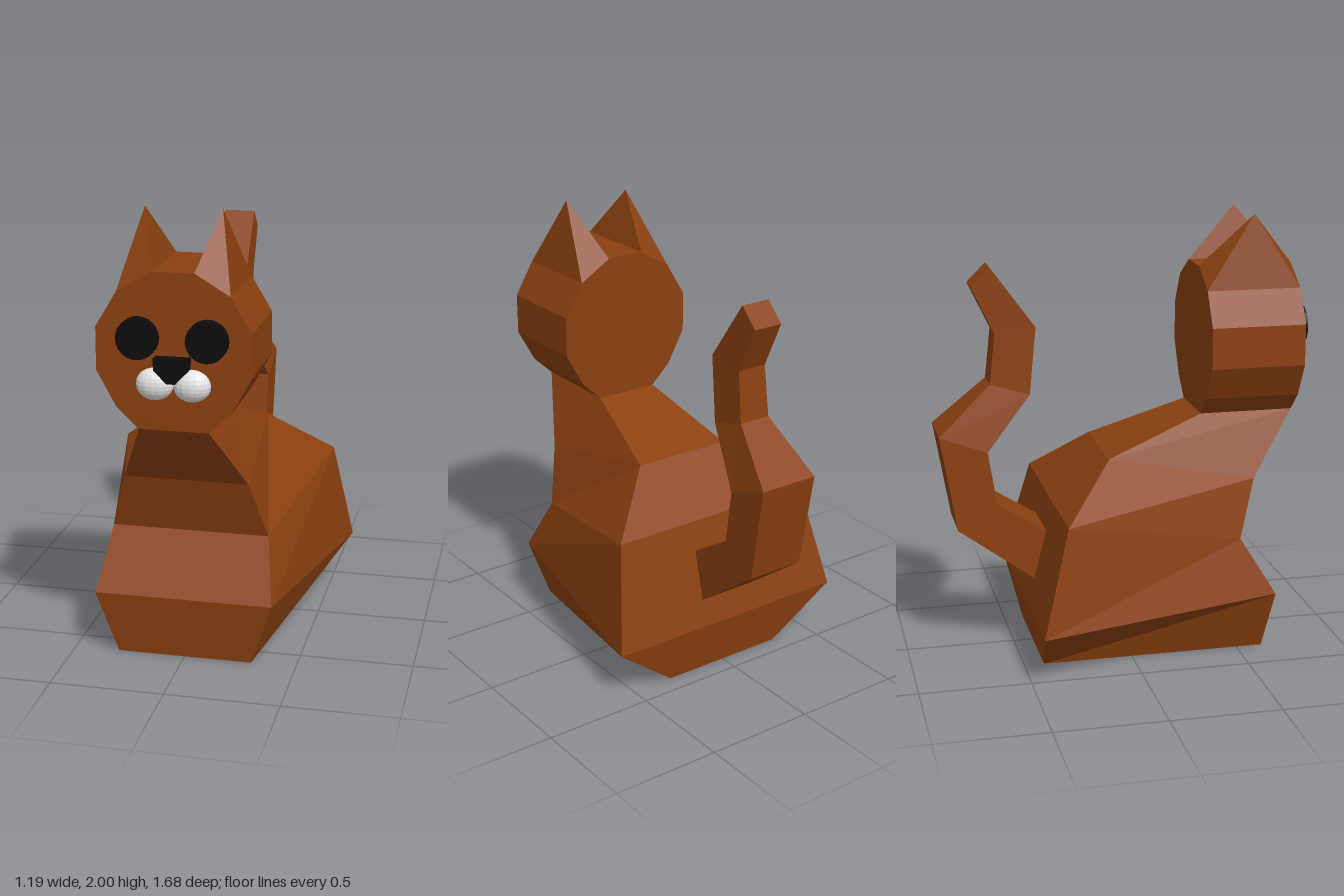
import * as THREE from 'three';
import { ConvexGeometry } from 'three/addons/geometries/ConvexGeometry.js';

// Lofts four-cornered sections. Each section: [frontY, frontZ, frontHalfWidth, backY, backZ, backHalfWidth]
function loft(sections, cx = 0) {
  const rings = sections.map(([fy, fz, fw, by, bz, bw]) => [
    [cx - fw, fy, fz], [cx + fw, fy, fz], [cx + bw, by, bz], [cx - bw, by, bz],
  ]);
  const pos = [];
  const quad = (a, b, c, d) => pos.push(...a, ...b, ...c, ...a, ...c, ...d);
  for (let r = 0; r < rings.length - 1; r++) {
    for (let i = 0; i < 4; i++) {
      const j = (i + 1) % 4;
      quad(rings[r][i], rings[r][j], rings[r + 1][j], rings[r + 1][i]);
    }
  }
  quad(...[...rings[0]].reverse());
  quad(...rings[rings.length - 1]);
  const geo = new THREE.BufferGeometry();
  geo.setAttribute('position', new THREE.Float32BufferAttribute(pos, 3));
  geo.computeVertexNormals();
  return geo;
}

// Extrudes a left-right symmetric outline given by its +x half, bottom to top
function symmetricPrism(half, z, depth) {
  const points = [...half, ...[...half].reverse().map(([x, y]) => [-x, y])];
  const shape = new THREE.Shape(points.map(([x, y]) => new THREE.Vector2(x, y)));
  return new THREE.ExtrudeGeometry(shape, { depth, bevelEnabled: false }).translate(0, 0, z);
}

export function createModel() {
  const material = (name, color) => {
    const m = new THREE.MeshStandardMaterial({ color, flatShading: true });
    m.name = name;
    return m;
  };
  const fur = material('brown fur', 0x8b4010);
  const black = material('black', 0x0d0d0d);
  const white = material('white', 0xe4e4e4);

  const model = new THREE.Group();
  model.name = 'cat';
  const add = (name, geometry, mat) => {
    const mesh = new THREE.Mesh(geometry, mat);
    mesh.name = name;
    model.add(mesh);
    return mesh;
  };

  // Sitting body, from the base up to the neck
  add('body', loft([
    [0, 0.62, 0.30, 0, -0.41, 0.30],
    [0.285, 0.655, 0.395, 0.235, -0.455, 0.595],
    [0.55, 0.495, 0.35, 0.71, -0.33, 0.51],
    [0.81, 0.575, 0.275, 0.93, -0.09, 0.235],
    [1.095, 0.785, 0.15, 1.095, 0.355, 0.15],
  ]), fur);

  // Crooked tail, starting inside the back
  add('tail', loft([
    [0.51, -0.25, 0.135, 0.275, -0.31, 0.135],
    [0.72, -0.585, 0.135, 0.61, -0.765, 0.135],
    [0.97, -0.625, 0.14, 1.05, -0.84, 0.14],
    [1.21, -0.42, 0.075, 1.265, -0.60, 0.075],
    [1.515, -0.39, 0.07, 1.495, -0.575, 0.07],
    [1.79, -0.59, 0.07, 1.705, -0.675, 0.07],
  ], -0.007), fur);

  // Ten-sided head
  const back = 0.355, front = 0.785;
  add('head', symmetricPrism([
    [0.15, 1.095], [0.245, 1.185], [0.33, 1.34], [0.33, 1.525], [0.24, 1.675], [0.09, 1.765],
  ], back, front - back), fur);

  // Nose
  add('nose', symmetricPrism([[0.018, 1.31], [0.072, 1.365], [0.075, 1.415]], 0.77, 0.067), black);

  for (const [side, s] of [['left', 1], ['right', -1]]) {
    // Ear: pyramid on the sloping head facet
    const corners = [[0.24, 1.675, back], [0.24, 1.675, front], [0.09, 1.765, back],
      [0.09, 1.765, front], [0.165, 2, 0.587]];
    add(side + 'Ear', new ConvexGeometry(corners.map(([x, y, z]) => new THREE.Vector3(s * x, y, z))), fur);

    // Eye: raised disc
    const eye = add(side + 'Eye', new THREE.CylinderGeometry(0.088, 0.088, 0.06, 24), black);
    eye.rotation.x = Math.PI / 2;
    eye.position.set(s * 0.147, 1.49, 0.798);

    // Muzzle: squashed ball
    const cheek = add(side + 'Muzzle', new THREE.SphereGeometry(1, 16, 12), white);
    cheek.scale.set(0.08, 0.069, 0.057);
    cheek.position.set(s * 0.079, 1.295, 0.785);
  }
  return model;
}
